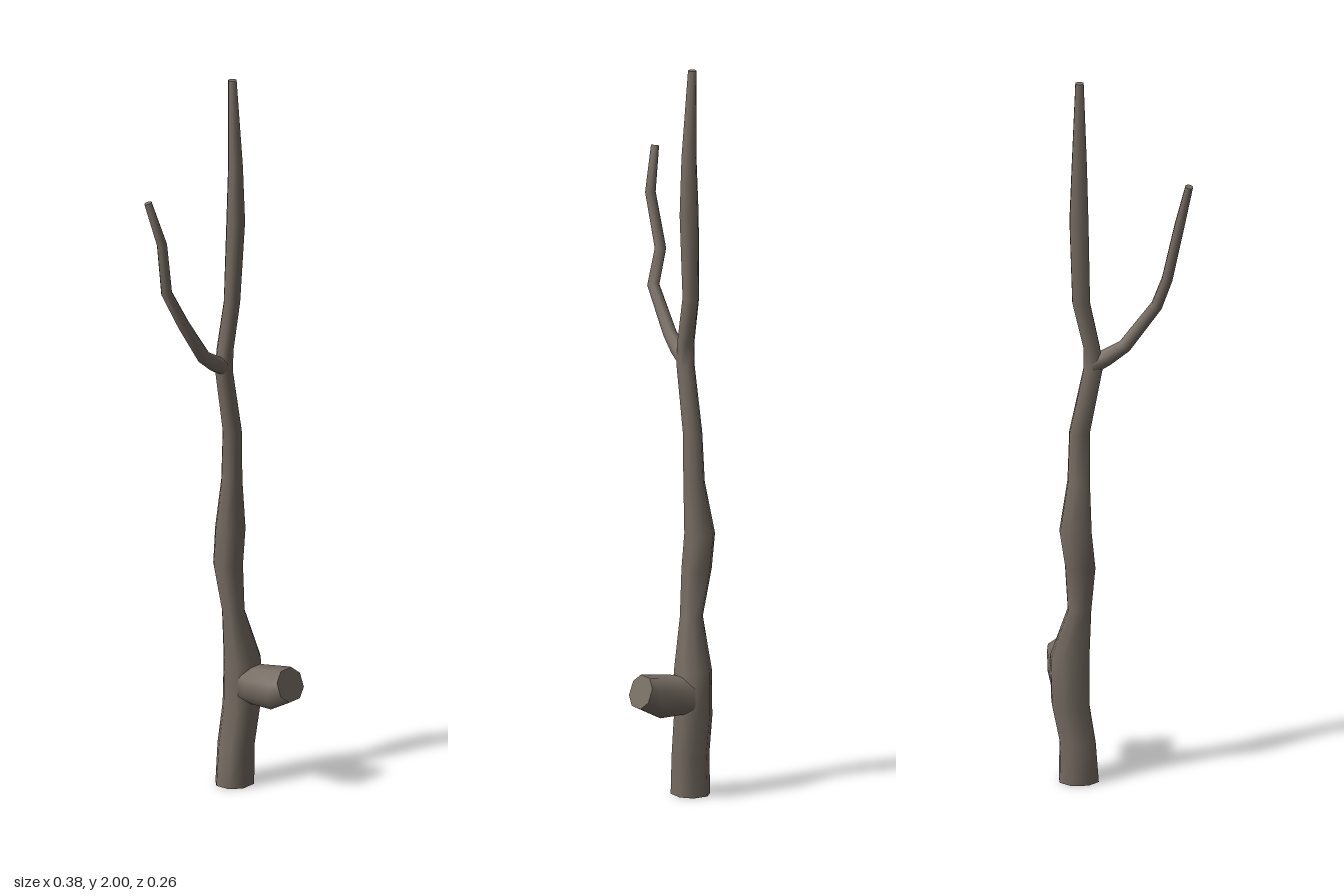
import * as THREE from 'three';

const V = (x, y, z) => new THREE.Vector3(x, y, z);

// Eight-sided outline, counter-clockwise from u towards v
const OUTLINE = [[1, -0.45], [1, 0.45], [0.45, 1], [-0.45, 1], [-1, 0.45], [-1, -0.45], [-0.45, -1], [0.45, -1]];

// Skin a list of rings { c, u, v }, with smooth sides and flat end caps
function loft(rings, material, name) {
  const n = OUTLINE.length, pos = [], index = [];
  const addRing = (r) => OUTLINE.forEach(([a, b]) => {
    const p = r.c.clone().addScaledVector(r.u, a).addScaledVector(r.v, b);
    pos.push(p.x, p.y, p.z);
  });
  rings.forEach(addRing);
  for (let i = 0; i < rings.length - 1; i++) {
    for (let j = 0; j < n; j++) {
      const a = i * n + j, b = i * n + (j + 1) % n;
      index.push(a, b, b + n, a, b + n, a + n);
    }
  }
  // caps use their own vertices so the end edges stay sharp
  [rings[0], rings[rings.length - 1]].forEach((r, end) => {
    const s = pos.length / 3;
    addRing(r);
    for (let j = 1; j < n - 1; j++) {
      if (end) index.push(s, s + j, s + j + 1);
      else index.push(s, s + j + 1, s + j);
    }
  });
  const geo = new THREE.BufferGeometry();
  geo.setAttribute('position', new THREE.Float32BufferAttribute(pos, 3));
  geo.setIndex(index);
  geo.computeVertexNormals();
  const mesh = new THREE.Mesh(geo, material);
  mesh.name = name;
  return mesh;
}

export function createModel() {
  const group = new THREE.Group();
  group.name = 'bareTree';
  const bark = new THREE.MeshStandardMaterial({ color: 0x766c62 });
  bark.name = 'greyBrownBark';

  // Trunk: height, then x and z extents of each ring
  const trunk = [
    [0, 0.06, 0.165, -0.103, -0.008],
    [0.11, 0.068, 0.163, -0.1, -0.008],
    [0.22, 0.085, 0.185, -0.097, -0.004],
    [0.35, 0.085, 0.188, -0.094, -0.004],
    [0.49, 0.08, 0.142, -0.087, -0.032],
    [0.62, 0.07, 0.15, -0.113, -0.04],
    [0.72, 0.08, 0.165, -0.115, -0.042],
    [0.86, 0.084, 0.143, -0.092, -0.041],
    [1.0, 0.084, 0.138, -0.086, -0.04],
    [1.18, 0.05, 0.1, -0.084, -0.041],
    [1.24, 0.056, 0.1, -0.083, -0.041],
    [1.37, 0.083, 0.13, -0.08, -0.041],
    [1.6, 0.087, 0.137, -0.075, -0.029],
    [1.76, 0.091, 0.131, -0.07, -0.034],
    [2.0, 0.1, 0.122, -0.073, -0.052],
  ].map(([y, x0, x1, z0, z1]) => ({
    c: V((x0 + x1) / 2, y, (z0 + z1) / 2),
    u: V(0, 0, (z1 - z0) / 2),
    v: V((x1 - x0) / 2, 0, 0),
  }));
  group.add(loft(trunk, bark, 'trunk'));

  // Cut limb at the front: half width, then bottom and top [y, z] of each ring
  const stub = [
    [0.046, [0.22, -0.06], [0.34, -0.06]],
    [0.05, [0.235, 0], [0.336, 0]],
    [0.053, [0.235, 0.067], [0.35, 0.095]],
    [0.05, [0.268, 0.129], [0.35, 0.1]],
  ].map(([w, [y0, z0], [y1, z1]]) => ({
    c: V(0.137, (y0 + y1) / 2, (z0 + z1) / 2),
    u: V(w, 0, 0),
    v: V(0, (y1 - y0) / 2, (z1 - z0) / 2),
  }));
  group.add(loft(stub, bark, 'cutLimb'));

  // Side branch: path points with radius
  const path = [
    [0.078, 1.19, -0.063, 0.021],
    [0.04, 1.212, -0.063, 0.021],
    [-0.01, 1.245, -0.065, 0.017],
    [-0.096, 1.36, -0.065, 0.015],
    [-0.122, 1.45, -0.103, 0.014],
    [-0.156, 1.6, -0.092, 0.013],
    [-0.18, 1.72, -0.121, 0.01],
  ];
  const pts = path.map(([x, y, z]) => V(x, y, z));
  const branch = path.map((p, i) => {
    const t = pts[Math.min(i + 1, pts.length - 1)].clone().sub(pts[Math.max(i - 1, 0)]).normalize();
    const u = V(0, 0, 1).cross(t).normalize();
    const v = t.clone().cross(u);
    return { c: pts[i], u: u.multiplyScalar(p[3]), v: v.multiplyScalar(p[3]) };
  });
  group.add(loft(branch, bark, 'sideBranch'));

  return group;
}
